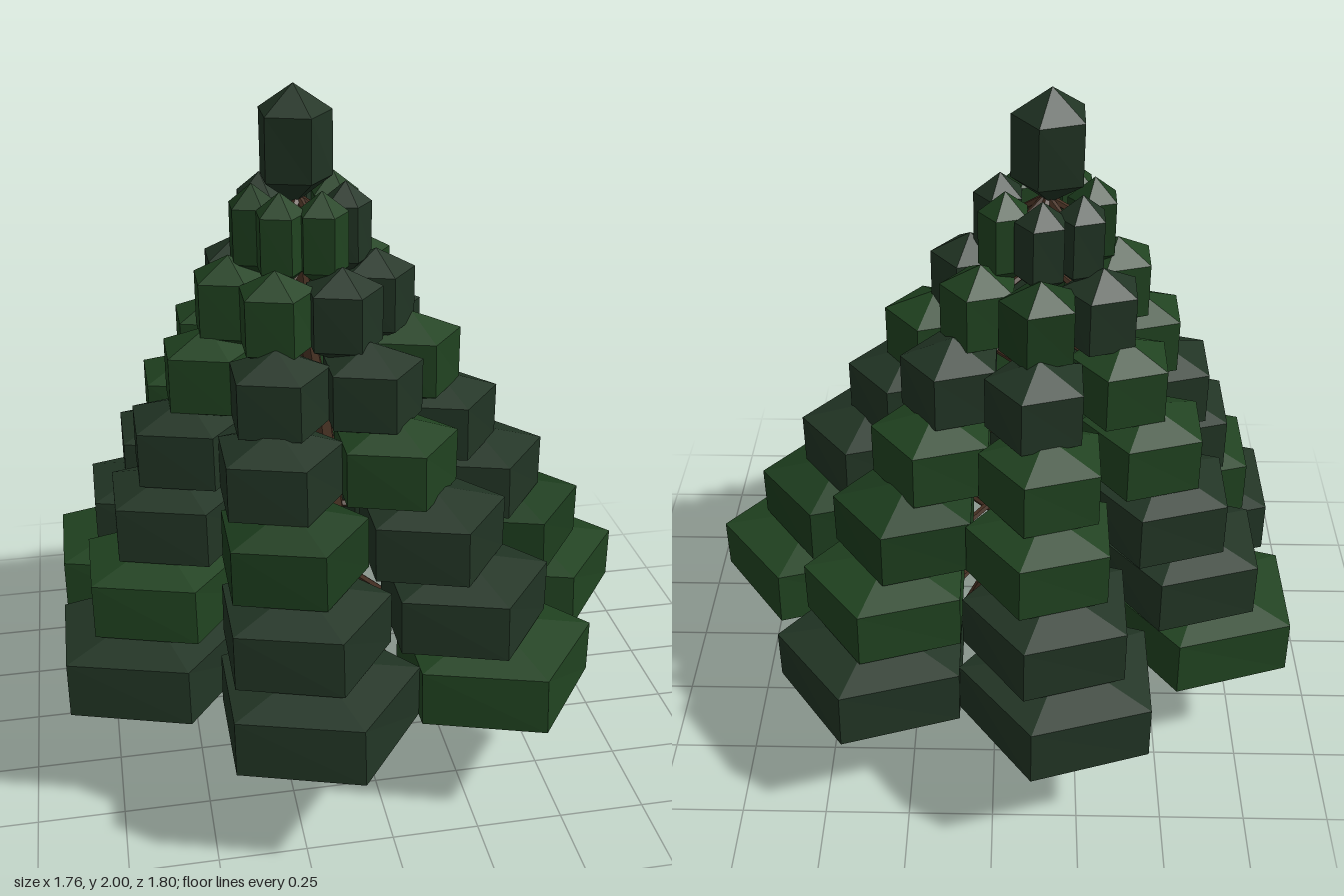
import * as THREE from 'three';

const paint = (name, color) => {
  const m = new THREE.MeshStandardMaterial({ color, flatShading: true });
  m.name = name;
  return m;
};

export function createModel() {
  const tree = new THREE.Group();
  tree.name = 'pineTree';
  const bark = paint('barkBrown', 0x463022);
  const greens = {
    B: paint('brightNeedleGreen', 0x204220),
    M: paint('midNeedleGreen', 0x1c3c1d),
    D: paint('darkNeedleGreen', 0x213424),
  };

  // Tapered log between two points
  const limb = (name, a, ra, b, rb, sides, parent) => {
    const dir = b.clone().sub(a);
    const mesh = new THREE.Mesh(new THREE.CylinderGeometry(rb, ra, dir.length(), sides), bark);
    mesh.name = name;
    mesh.position.copy(a).add(b).multiplyScalar(0.5);
    mesh.quaternion.setFromUnitVectors(new THREE.Vector3(0, 1, 0), dir.normalize());
    parent.add(mesh);
  };

  // Five-sided needle clump: near-upright walls with shallow pointed ends
  const clump = (name, radius, wall, tip, topDepth, bottomDepth, mat) => {
    const profile = [[0, -tip], [radius, -wall], [radius, wall], [0, tip]];
    const geo = new THREE.LatheGeometry(profile.map(([x, y]) => new THREE.Vector2(x, y)), 5, Math.PI / 2);
    const p = geo.attributes.position;
    for (let i = 0; i < p.count; i++) {
      p.setZ(i, p.getZ(i) * (p.getY(i) < 0 ? bottomDepth : topDepth));
    }
    const mesh = new THREE.Mesh(geo, mat);
    mesh.name = name;
    return mesh;
  };

  // Point on a circle around the leaning axis
  const around = (angle, cx, r, y) =>
    new THREE.Vector3(cx + r * Math.cos(angle), y, r * Math.sin(angle));

  // Leaning trunk
  const trunk = new THREE.Group();
  trunk.name = 'trunk';
  const stations = [
    [-0.03, 0, 0.072], [-0.045, 0.6, 0.05], [-0.085, 1.05, 0.035], [-0.12, 1.3, 0.026], [-0.145, 1.85, 0.014],
  ];
  for (let i = 0; i < stations.length - 1; i++) {
    const [x0, y0, r0] = stations[i], [x1, y1, r1] = stations[i + 1];
    limb('trunkSection', new THREE.Vector3(x0, y0, 0), r0, new THREE.Vector3(x1, y1, 0), r1, 7, trunk);
  }
  tree.add(trunk);

  // Five splayed roots
  const roots = new THREE.Group();
  roots.name = 'roots';
  for (let k = 0; k < 5; k++) {
    const a = (k / 5) * Math.PI * 2;
    limb('root', around(a, -0.025, 0.185, 0.013), 0.022, around(a, -0.035, 0.035, 0.34), 0.026, 6, roots);
  }
  tree.add(roots);

  // Tiers of clumps: lean, distance from trunk, clump radius, colour of each clump
  const tiers = [
    [-0.06, 0.64, 0.3, 'BBDDBDD'],
    [-0.07, 0.56, 0.255, 'MDDBDDB'],
    [-0.085, 0.472, 0.222, 'DDMDDBM'],
    [-0.115, 0.385, 0.187, 'DBDDBBB'],
    [-0.115, 0.305, 0.15, 'BDDBBDD'],
    [-0.13, 0.216, 0.115, 'DDBBDMB'],
    [-0.135, 0.135, 0.075, 'DBBMDDB'],
  ];
  tiers.forEach(([cx, dist, radius, colours], t) => {
    const tier = new THREE.Group();
    tier.name = 'tier' + (t + 1);
    const y = 0.407 + t * 0.197;
    for (let k = 0; k < 7; k++) {
      // Each tier turns three degrees past the one below
      const a = (k / 7) * Math.PI * 2 + (t * Math.PI) / 60;
      const c = clump('needleClump', radius, 0.08, 0.142, 0.9, 0.97, greens[colours[k]]);
      c.position.copy(around(a, cx, dist, y));
      tier.add(c);
      // Thin branch carrying the clump
      limb('branch', new THREE.Vector3(cx, y + 0.09, 0), 0.012, around(a, cx, dist, y), 0.007, 5, tier);
    }
    tree.add(tier);
  });

  // Crown
  const crown = clump('crown', 0.11, 0.093, 0.17, 1, 0.88, greens.D);
  crown.position.set(-0.145, 1.83, 0);
  tree.add(crown);

  return tree;
}
